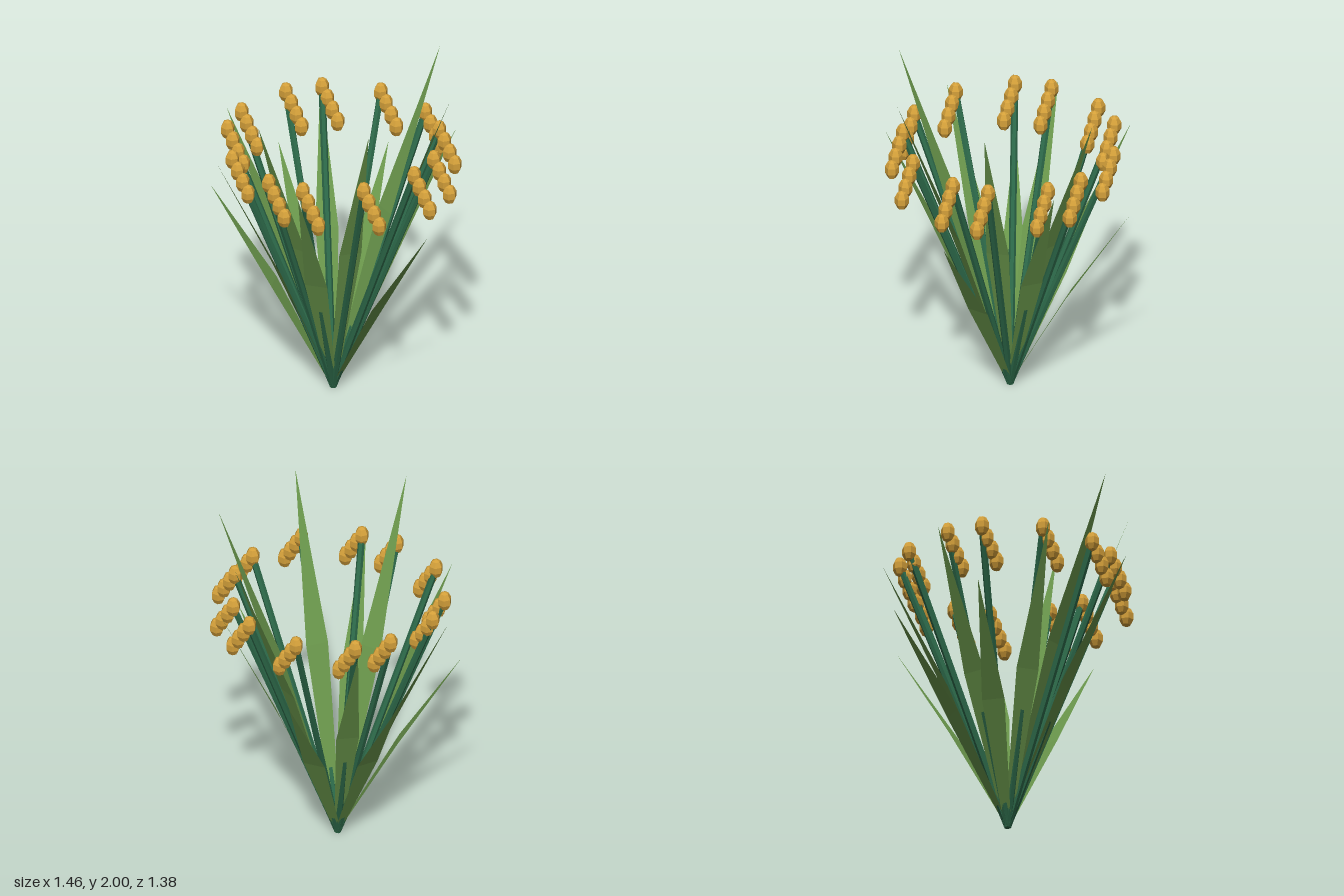
import * as THREE from 'three';

const stalkMat = new THREE.MeshStandardMaterial({ name: 'dark stalk green', color: 0x2d6a4a, flatShading: true });
const leafMat = new THREE.MeshStandardMaterial({ name: 'leaf green', color: 0x6b984c, flatShading: true, side: THREE.DoubleSide });
const grainMat = new THREE.MeshStandardMaterial({ name: 'golden grain', color: 0xd4a03a, flatShading: true });

const BASE = new THREE.Vector3(-0.03, 0.01, -0.01);
const STALK_REACH = 0.607, STALK_TOP = 1.6;
const LEAF_REACH = 0.705;

// Direction (degrees from +x towards +z) and leaf tip height of each shoot
const SHOOTS = [
  [0, 1.23], [32.2, 2], [64.9, 1.6], [85.2, 2], [117.6, 1.6], [150.4, 1.23], [170.4, 1.6],
  [202.6, 1.23], [222.6, 1.6], [254.7, 1.23], [287, 2], [307.4, 1.6], [339.7, 2],
];

// Flat blade along +x: narrow foot, wide middle, pointed tip
function leafGeometry(height) {
  const rise = height - BASE.y;
  const midX = LEAF_REACH * 0.485, midY = rise * 0.522;
  const geo = new THREE.BufferGeometry();
  geo.setAttribute('position', new THREE.Float32BufferAttribute([
    0, 0, -0.02, 0, 0, 0.02,
    midX, midY, -0.065, midX, midY, 0.065,
    LEAF_REACH, rise, 0,
  ], 3));
  geo.setIndex([0, 1, 3, 0, 3, 2, 2, 3, 4]);
  geo.computeVertexNormals();
  return geo;
}

function mesh(name, geo, mat) {
  const m = new THREE.Mesh(geo, mat);
  m.name = name;
  return m;
}

export function createModel() {
  const plant = new THREE.Group();
  plant.name = 'grainPlant';

  const rise = STALK_TOP - BASE.y;
  const length = Math.hypot(STALK_REACH, rise);
  const stalkGeo = new THREE.CylinderGeometry(0.02, 0.02, length, 6).translate(0, length / 2, 0);
  stalkGeo.rotateZ(-Math.atan2(STALK_REACH, rise));
  const grainGeo = new THREE.SphereGeometry(0.042, 6, 5).scale(1, 1.45, 1);

  for (const [degrees, leafHeight] of SHOOTS) {
    const angle = THREE.MathUtils.degToRad(degrees);

    // Stalk and leaf lean outwards together
    const shoot = new THREE.Group();
    shoot.name = 'shoot';
    shoot.position.copy(BASE);
    shoot.rotation.y = -angle;
    shoot.add(mesh('stalk', stalkGeo, stalkMat), mesh('leaf', leafGeometry(leafHeight), leafMat));
    plant.add(shoot);

    // Grain heads all droop towards +x
    const head = new THREE.Group();
    head.name = 'grainHead';
    head.position.set(
      BASE.x + STALK_REACH * Math.cos(angle), STALK_TOP, BASE.z + STALK_REACH * Math.sin(angle));
    for (let i = 0; i < 4; i++) {
      const grain = mesh('grain', grainGeo, grainMat);
      grain.position.set(i * 0.039, -i * 0.06, 0);
      head.add(grain);
    }
    plant.add(head);
  }
  return plant;
}
